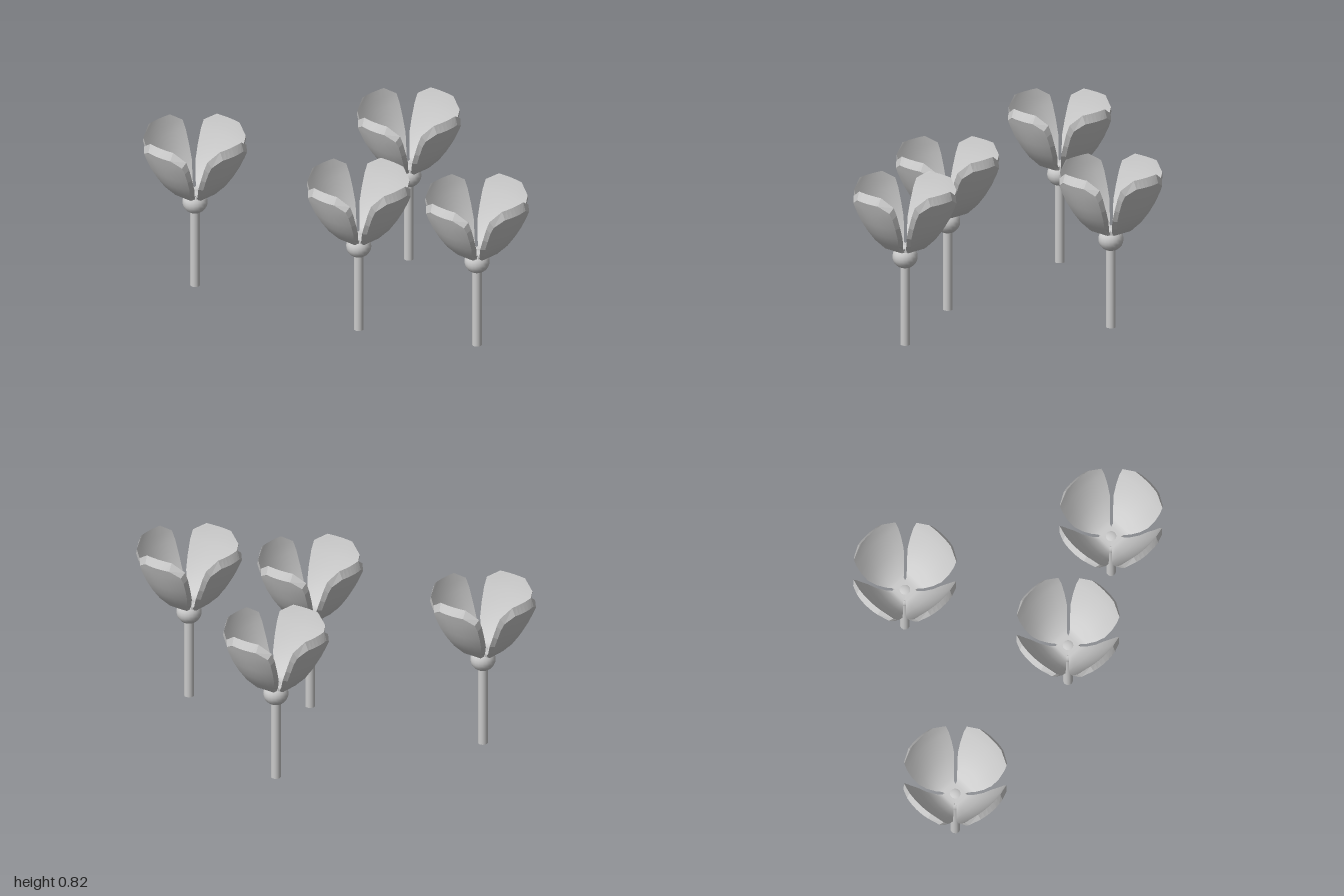
import * as THREE from 'three';
import { mergeGeometries } from 'three/addons/utils/BufferGeometryUtils.js';

const material = new THREE.MeshStandardMaterial({ color: 0xcccccc });
const COLS = 6;

// Petal cross-sections from the flower centre to the tip: [radius, height, half width, cup]
const INNER = [
  [0, 0.503, 0, 0], [0.035, 0.503, 0.035, 0], [0.05, 0.504, 0.04, 0], [0.07, 0.508, 0.06, 0],
  [0.115, 0.54, 0.092, 0.012], [0.155, 0.595, 0.12, 0.022], [0.19, 0.66, 0.135, 0.025],
  [0.218, 0.73, 0.142, 0.024], [0.233, 0.775, 0.14, 0.02], [0.244, 0.817, 0.076, 0.006],
];
const OUTER = [
  [0, 0.482, 0, 0], [0.035, 0.483, 0.033, 0], [0.057, 0.486, 0.036, 0], [0.085, 0.498, 0.052, 0],
  [0.14, 0.545, 0.082, 0.014], [0.178, 0.595, 0.107, 0.024], [0.211, 0.652, 0.122, 0.027],
  [0.237, 0.71, 0.129, 0.026], [0.251, 0.745, 0.126, 0.022], [0.263, 0.776, 0.073, 0.008],
];

// Turns cross-sections into rows of points, the sides cupped toward the centre
function sweep(sections) {
  return sections.map(([r, y, w, cup]) =>
    Array.from({ length: COLS + 1 }, (_, j) => {
      const u = (j / COLS) * 2 - 1;
      return new THREE.Vector3(u * w, y, r - cup * u * u);
    }));
}

// Surface through a grid of points
function surface(rows, flat = false) {
  const n = rows[0].length;
  const index = [];
  for (let i = 0; i < rows.length - 1; i++) {
    for (let j = 0; j < n - 1; j++) {
      const a = i * n + j, b = a + n;
      index.push(a, b, a + 1, b, b + 1, a + 1);
    }
  }
  let g = new THREE.BufferGeometry().setFromPoints(rows.flat());
  g.setIndex(index);
  if (flat) g = g.toNonIndexed();
  g.computeVertexNormals();
  return flat ? g : g.toNonIndexed();
}

// Left side, tip and right side of a petal face as one line
function outline(rows) {
  return [
    ...rows.map((r) => r[0]),
    ...rows[rows.length - 1].slice(1, -1),
    ...rows.map((r) => r[COLS]).reverse(),
  ];
}

// Thick cupped petal: inner face, smaller outer face and the bevelled rim between
function petalGeometry() {
  const inner = sweep(INNER), outer = sweep(OUTER);
  return mergeGeometries([
    surface(inner),
    surface(outer.map((r) => [...r].reverse())),
    surface([outline(inner), outline(outer)], true),
  ]);
}

export function createModel() {
  const group = new THREE.Group();
  group.name = 'flowers';
  const petal = petalGeometry();
  const stem = new THREE.CylinderGeometry(0.024, 0.024, 0.41, 12);
  const bulb = new THREE.SphereGeometry(0.062, 20, 12);

  const add = (parent, geometry, name, y = 0) => {
    const mesh = new THREE.Mesh(geometry, material);
    mesh.name = name;
    mesh.position.y = y;
    parent.add(mesh);
    return mesh;
  };

  // Four equal flowers, each with a stem, a bulb and four petals
  const spots = [[-0.468, -0.737], [0.464, -0.18], [-0.295, 0.193], [-0.033, 0.737]];
  for (const [x, z] of spots) {
    const flower = new THREE.Group();
    flower.name = 'flower';
    flower.position.set(x, 0, z);
    add(flower, stem, 'stem', 0.205);
    add(flower, bulb, 'bulb', 0.45).scale.y = 0.95;
    for (let k = 0; k < 4; k++) add(flower, petal, 'petal').rotation.y = (k * Math.PI) / 2;
    group.add(flower);
  }
  return group;
}
